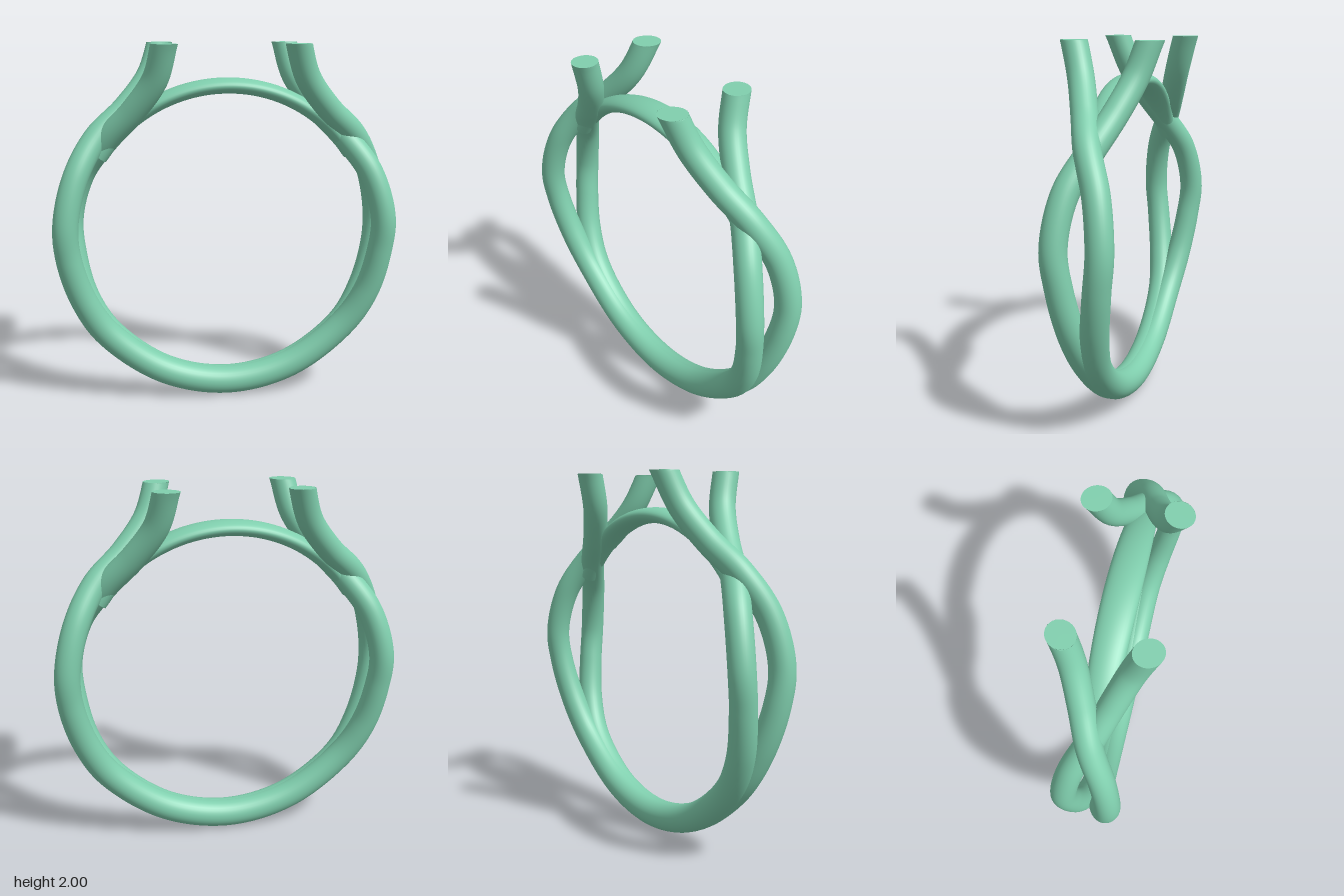
import * as THREE from 'three';

const TOP = 2; // height at which the prongs are cut level
const CENTRE_Y = 0.945; // centre of the finger hole
const material = new THREE.MeshStandardMaterial({ color: 0x80cfae });

// Sweep an elliptical section along a curve; size(p, u) gives [half-width, half-thickness].
function sweep(curve, steps, sides, size) {
  const { tangents, normals, binormals } = curve.computeFrenetFrames(steps, false);
  const positions = [];
  const index = [];
  const point = (i, j) => {
    const u = i / steps;
    const p = curve.getPointAt(u);
    const [w, h] = size(p, u);
    const a = (j / sides) * Math.PI * 2;
    p.addScaledVector(normals[i], w * Math.cos(a)).addScaledVector(binormals[i], h * Math.sin(a));
    // slide anything above the cut plane back along the strand
    if (p.y > TOP) p.addScaledVector(tangents[i], (TOP - p.y) / tangents[i].y);
    return p;
  };
  for (let i = 0; i <= steps; i++) {
    for (let j = 0; j < sides; j++) positions.push(...point(i, j).toArray());
  }
  for (let i = 0; i < steps; i++) {
    for (let j = 0; j < sides; j++) {
      const k = (j + 1) % sides;
      const a = i * sides + j, b = i * sides + k;
      index.push(a, b, a + sides, b, b + sides, a + sides);
    }
  }
  // end caps with their own vertices, so the rim stays sharp
  for (const i of [0, steps]) {
    const base = positions.length / 3;
    const centre = new THREE.Vector3();
    for (let j = 0; j < sides; j++) {
      const p = point(i, j);
      centre.addScaledVector(p, 1 / sides);
      positions.push(...p.toArray());
    }
    positions.push(...centre.toArray());
    for (let j = 0; j < sides; j++) {
      const a = base + j, b = base + ((j + 1) % sides);
      index.push(base + sides, ...(i === 0 ? [b, a] : [a, b]));
    }
  }
  const geometry = new THREE.BufferGeometry();
  geometry.setAttribute('position', new THREE.Float32BufferAttribute(positions, 3));
  geometry.setIndex(index);
  geometry.computeVertexNormals();
  return geometry;
}

export function createModel() {
  const group = new THREE.Group();
  group.name = 'twistedRing';

  // One strand: outer prong, over the crossing, round the bottom, under the other crossing, inner prong
  const path = new THREE.CatmullRomCurve3([
    [0.335, 2.06, 0.222], [0.35, 2, 0.2], [0.415, 1.82, 0.14], [0.55, 1.65, 0.072], [0.71, 1.5, 0],
    [0.825, 1.3, -0.085], [0.885, 1.05, -0.12], [0.875, 0.85, -0.1], [0.8, 0.6, -0.06],
    [0.67, 0.39, -0.025], [0.36, 0.16, -0.01], [0, 0.08, -0.008], [-0.36, 0.16, -0.01],
    [-0.665, 0.39, -0.025], [-0.795, 0.6, -0.06], [-0.855, 0.85, -0.1], [-0.863, 1.05, -0.12],
    [-0.79, 1.3, -0.085], [-0.655, 1.49, 0], [-0.51, 1.65, 0.072], [-0.395, 1.82, 0.14],
    [-0.35, 2, 0.2], [-0.335, 2.06, 0.222],
  ].map((p) => new THREE.Vector3(...p)));
  const strandGeometry = sweep(path, 240, 32, (p) => {
    const r = 0.069 + 0.011 * THREE.MathUtils.clamp(1 - p.y / 0.9, 0, 1);
    return [r, r];
  });

  // The second strand is the first turned half way round
  ['backStrand', 'frontStrand'].forEach((name, i) => {
    const strand = new THREE.Mesh(strandGeometry, material);
    strand.name = name;
    strand.rotation.y = i * Math.PI;
    group.add(strand);
  });

  // Flattened arch closing the ring between the crossings
  const arc = [];
  for (let i = 0; i <= 12; i++) {
    const a = THREE.MathUtils.degToRad(33 + (114 * i) / 12);
    arc.push(new THREE.Vector3(0.829 * Math.cos(a), CENTRE_Y + 0.829 * Math.sin(a), 0));
  }
  const arch = new THREE.Mesh(
    sweep(new THREE.CatmullRomCurve3(arc), 80, 32, (p, u) => {
      const t = Math.abs(2 * u - 1);
      return [0.09 - 0.04 * t * t, 0.043];
    }),
    material,
  );
  arch.name = 'topArch';
  group.add(arch);

  return group;
}
